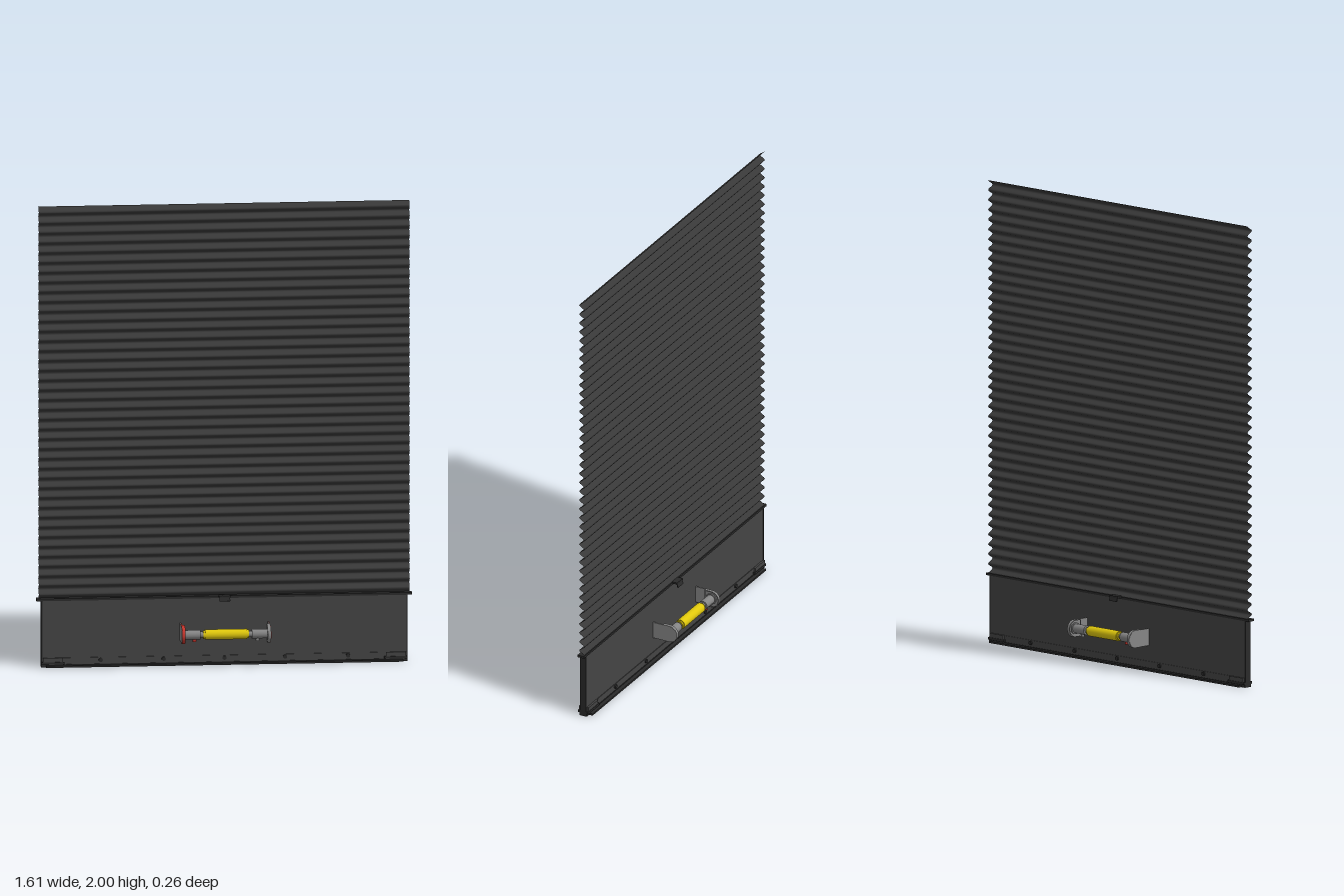
import * as THREE from 'three';

const mat = (name, color, side = THREE.FrontSide) => {
  const m = new THREE.MeshStandardMaterial({ color, side });
  m.name = name;
  return m;
};

export function createModel() {
  const root = new THREE.Group();
  root.name = 'rollerShutter';
  const slatGrey = mat('slatGrey', 0x383838, THREE.DoubleSide);
  const panelGrey = mat('panelGrey', 0x444444);
  const trimBlack = mat('trimBlack', 0x2a2a2a);
  const steel = mat('steelGrey', 0x858585);
  const red = mat('plateRed', 0xc4352c);
  const yellow = mat('gripYellow', 0xe0c80c);

  const add = (parent, name, geo, material, x = 0, y = 0, z = 0) => {
    const m = new THREE.Mesh(geo, material);
    m.name = name;
    m.position.set(x, y, z);
    parent.add(m);
    return m;
  };
  const box = (parent, name, w, h, d, material, x, y, z) =>
    add(parent, name, new THREE.BoxGeometry(w, h, d), material, x, y, z);

  // Corrugated curtain: an open sheet bent into rounded slats
  const slats = 40, steps = 8, bottom = 0.295, height = 1.705;
  const curtain = new THREE.PlaneGeometry(1.59, height, 1, slats * steps);
  const p = curtain.attributes.position;
  for (let i = 0; i < p.count; i++) {
    const t = (p.getY(i) / height + 0.5) * slats;
    p.setZ(i, -0.013 * Math.cos(t * Math.PI * 2));
  }
  curtain.computeVertexNormals();
  add(root, 'curtain', curtain, slatGrey, 0, bottom + height / 2, 0);

  // Bottom panel with its top rail
  box(root, 'bottomPanel', 1.565, 0.28, 0.026, panelGrey, 0, 0.15, 0);
  box(root, 'topRail', 1.61, 0.01, 0.032, trimBlack, 0, 0.293, 0);
  for (const s of [-1, 1]) {
    box(root, 'endCap', 0.006, 0.28, 0.03, trimBlack, s * 0.783, 0.15, 0);
  }

  // Foot rail, corner brackets, bolts and latch hoods on both faces
  box(root, 'footRail', 1.57, 0.012, 0.036, trimBlack, 0, 0.006, 0);
  box(root, 'footFlange', 1.53, 0.008, 0.072, trimBlack, 0, 0.005, 0);
  for (const s of [-1, 1]) {
    box(root, 'footAngle', 1.53, 0.032, 0.003, panelGrey, 0, 0.024, s * 0.0145);
    for (const x of [-0.735, 0.735]) {
      box(root, 'cornerBracket', 0.085, 0.03, 0.008, panelGrey, x, 0.026, s * 0.019);
      box(root, 'cornerFoot', 0.1, 0.01, 0.05, trimBlack, x, 0.018, 0);
    }
    for (const x of [-0.53, -0.26, 0, 0.26, 0.53]) {
      const bolt = new THREE.CylinderGeometry(0.009, 0.009, 0.008, 12).rotateX(Math.PI / 2);
      add(root, 'footBolt', bolt, trimBlack, x, 0.029, s * 0.018);
    }
    box(root, 'latchArm', 0.05, 0.008, 0.026, trimBlack, 0, 0.298, s * 0.026);
    const lip = box(root, 'latchLip', 0.046, 0.024, 0.004, trimBlack, 0, 0.29, s * 0.038);
    lip.rotation.x = -s * 0.3;
  }

  // Stadium outline in (z, y), reaching outwards from the panel
  const outline = (s, start, r, Kind) => {
    const pts = [new THREE.Vector2(s * start, -r)];
    for (let i = 0; i <= 20; i++) {
      const a = -Math.PI / 2 + (Math.PI * i) / 20;
      pts.push(new THREE.Vector2(s * (0.092 + r * Math.cos(a)), r * Math.sin(a)));
    }
    pts.push(new THREE.Vector2(s * start, r));
    return new Kind(pts);
  };
  // Extrudes an outline along x, centred on x = 0
  const slab = (shape, depth) =>
    new THREE.ExtrudeGeometry(shape, { depth, bevelEnabled: false })
      .translate(0, 0, -depth / 2).rotateY(-Math.PI / 2);

  // One handle on each face: side plates, sockets, necks and grip
  for (const s of [1, -1]) {
    const handle = new THREE.Group();
    handle.name = s > 0 ? 'frontHandle' : 'backHandle';
    handle.position.y = 0.145;
    root.add(handle);
    const rod = (name, r, len, material, x) =>
      add(handle, name, new THREE.CylinderGeometry(r, r, len, 24).rotateZ(Math.PI / 2),
        material, x, 0, s * 0.09);

    for (const side of [-1, 1]) {
      const x = side * 0.188;
      const plate = outline(s, 0.012, 0.037, THREE.Shape);
      add(handle, 'plateFaceA', slab(plate, 0.003), s > 0 ? red : steel, x + 0.0015);
      add(handle, 'plateFaceB', slab(plate, 0.003), steel, x - 0.0015);

      const rim = outline(s, 0.062, 0.038, THREE.Shape);
      rim.holes.push(outline(s, 0.066, 0.034, THREE.Path));
      add(handle, 'plateRim', slab(rim, 0.014), s > 0 && side < 0 ? red : steel, side * 0.183);

      rod('socketFlange', 0.025, 0.006, steel, side * 0.18);
      rod('socket', 0.02, 0.07, steel, side * 0.145);
      rod('neck', 0.013, 0.025, steel, side * 0.103);
      rod('gripCollar', 0.018, 0.008, yellow, side * 0.094);
      const screw = new THREE.CylinderGeometry(0.008, 0.008, 0.012, 12);
      add(handle, 'socketScrew', screw, side < 0 ? red : steel, side * 0.135, -0.024, s * 0.09);
    }
    rod('grip', 0.022, 0.18, yellow, 0);
  }
  return root;
}
